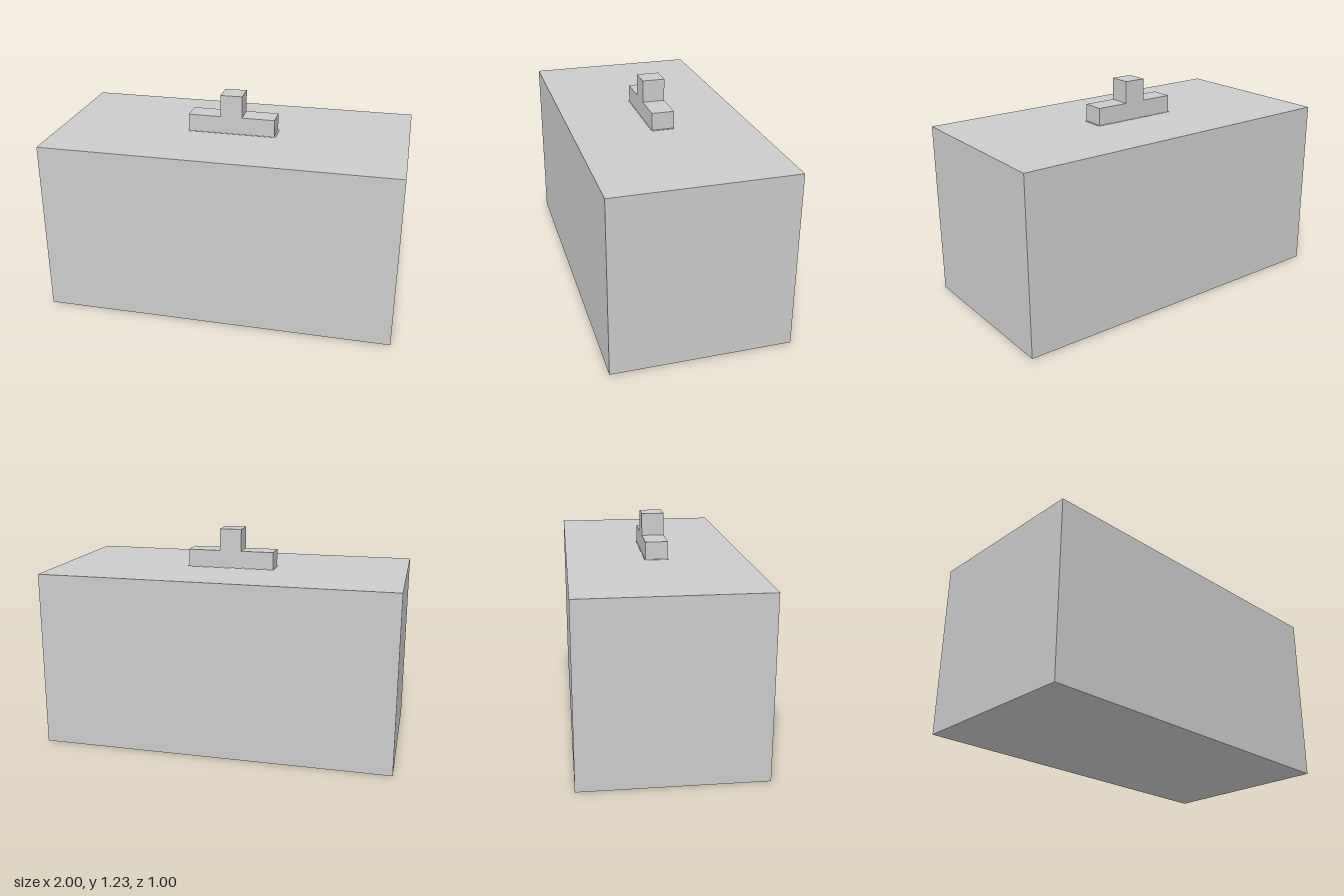
import * as THREE from 'three';

const material = new THREE.MeshStandardMaterial({ color: 0xcccccc, flatShading: true });

function box(name, w, h, d, bottom) {
  const mesh = new THREE.Mesh(new THREE.BoxGeometry(w, h, d), material);
  mesh.name = name;
  mesh.position.y = bottom + h / 2;
  return mesh;
}

// Extrudes an x-y outline to a depth centred on z = 0
function slab(name, points, depth) {
  const shape = new THREE.Shape(points.map(([x, y]) => new THREE.Vector2(x, y)));
  const geometry = new THREE.ExtrudeGeometry(shape, { depth, bevelEnabled: false });
  geometry.translate(0, 0, -depth / 2);
  const mesh = new THREE.Mesh(geometry, material);
  mesh.name = name;
  return mesh;
}

export function createModel() {
  const model = new THREE.Group();
  model.name = 'blockWithTopFixture';
  const depth = 0.126;

  // Large block and the thin seat around the fixture
  model.add(box('body', 2, 1, 1, 0));
  model.add(box('fixtureSeat', 0.516, 0.003, 0.134, 0.999));

  // Upright with a slightly flared foot
  model.add(slab('upright', [
    [-0.075, 1], [0.075, 1], [0.0625, 1.1], [0.0625, 1.226],
    [-0.0625, 1.226], [-0.0625, 1.1],
  ], depth));

  // Low arms fitted against the upright
  for (const [name, s] of [['leftArm', 1], ['rightArm', -1]]) {
    model.add(slab(name, [
      [s * 0.075, 1], [s * 0.25, 1], [s * 0.25, 1.1], [s * 0.0625, 1.1],
    ], depth));
  }
  return model;
}
